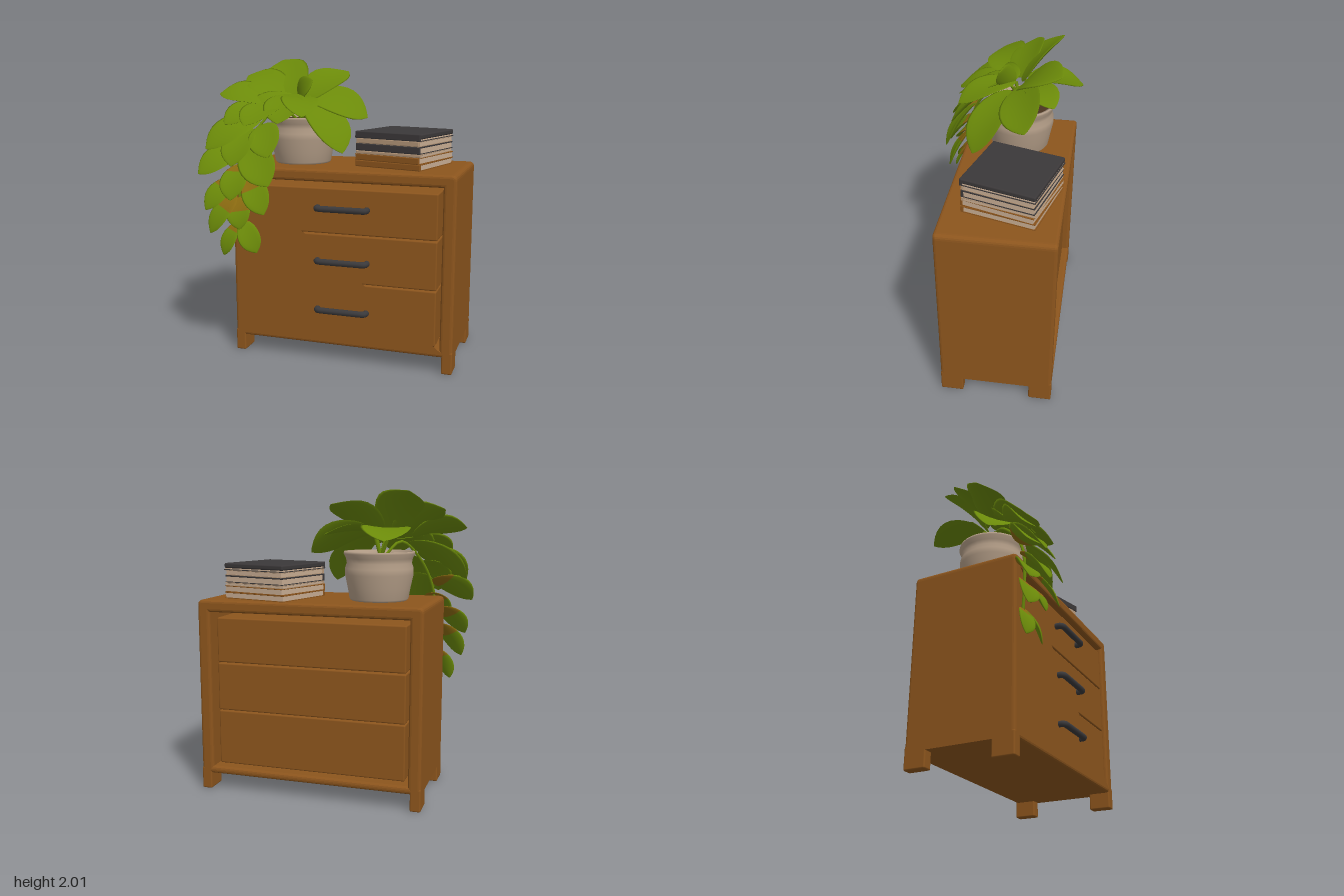
import * as THREE from 'three';
import { RoundedBoxGeometry } from 'three/addons/geometries/RoundedBoxGeometry.js';

const mat = (name, color) => {
  const m = new THREE.MeshStandardMaterial({ color });
  m.name = name;
  return m;
};
const V = (a) => new THREE.Vector3(...a);

export function createModel() {
  const wood = mat('wood', 0x8c551d);
  const metal = mat('dark metal', 0x3a393b);
  const clay = mat('clay', 0xb39d87);
  const soil = mat('soil', 0x4a3420);
  const green = mat('leaf green', 0x6b8a09);
  const amber = mat('leaf amber', 0x8a6a10);
  const darkCover = mat('dark cover', 0x3b3839);
  const tanCover = mat('tan cover', 0xb49678);
  const pages = mat('pages', 0xc9ae94);
  const root = new THREE.Group();
  root.name = 'dresserWithPlant';

  const add = (parent, name, geometry, material, x = 0, y = 0, z = 0) => {
    const m = new THREE.Mesh(geometry, material);
    m.name = name;
    m.position.set(x, y, z);
    parent.add(m);
    return m;
  };
  const group = (name) => {
    const g = new THREE.Group();
    g.name = name;
    root.add(g);
    return g;
  };

  // Cabinet shell: a rounded frame open at front and back
  const dresser = group('dresser');
  const L = -0.675, R = 0.845, B = 0.11, T = 1.3, r = 0.035;
  const outline = new THREE.Shape();
  outline.moveTo(L, B);
  outline.lineTo(R, B);
  outline.lineTo(R, T - r);
  outline.quadraticCurveTo(R, T, R - r, T);
  outline.lineTo(L + r, T);
  outline.quadraticCurveTo(L, T, L, T - r);
  outline.closePath();
  const opening = new THREE.Path();
  opening.setFromPoints([[-0.59, 0.16], [-0.59, 1.22], [0.76, 1.22], [0.76, 0.16]].map((p) => new THREE.Vector2(...p)));
  outline.holes.push(opening);
  const bevel = 0.02;
  add(dresser, 'cabinetFrame', new THREE.ExtrudeGeometry(outline, {
    depth: 0.74 - 2 * bevel, bevelSize: bevel, bevelThickness: bevel, bevelOffset: -bevel, bevelSegments: 3, curveSegments: 5,
  }), wood, 0, 0, -0.45 + bevel);

  // Legs
  for (const x of [L + 0.035, R - 0.035])
    for (const z of [0.215, -0.375])
      add(dresser, 'leg', new RoundedBoxGeometry(0.07, 0.15, 0.15, 2, 0.01), wood, x, 0.075, z);

  // Diagonal front panel over the lower corner of the opening
  const half = new THREE.Shape([[-0.61, 0.13], [0.79, 0.13], [-0.61, 1.225]].map((p) => new THREE.Vector2(...p)));
  add(dresser, 'diagonalPanel', new THREE.ShapeGeometry(half), wood, 0, 0, 0.2905);

  // Drawers with bar handles
  const bar = new THREE.CurvePath();
  const hp = [[-0.168, 0, -0.02], [-0.168, 0, 0.02], [-0.13, 0, 0.04], [0.13, 0, 0.04], [0.168, 0, 0.02], [0.168, 0, -0.02]].map(V);
  bar.add(new THREE.LineCurve3(hp[0], hp[1]));
  bar.add(new THREE.QuadraticBezierCurve3(hp[1], V([-0.168, 0, 0.04]), hp[2]));
  bar.add(new THREE.LineCurve3(hp[2], hp[3]));
  bar.add(new THREE.QuadraticBezierCurve3(hp[3], V([0.168, 0, 0.04]), hp[4]));
  bar.add(new THREE.LineCurve3(hp[4], hp[5]));
  const barGeo = new THREE.TubeGeometry(bar, 40, 0.021, 10);
  for (const [y0, y1, hy] of [[0.175, 0.545, 0.36], [0.55, 0.872, 0.695], [0.878, 1.18, 1.05]]) {
    add(dresser, 'drawer', new RoundedBoxGeometry(1.29, y1 - y0, 0.68, 2, 0.01), wood, 0.085, (y0 + y1) / 2, -0.06);
    add(dresser, 'handle', barGeo, metal, 0.102, hy, 0.287);
  }

  // Stack of books, spines to the front; height, cover, turn, size, cover thickness
  const books = group('books');
  books.position.set(0.415, 1.3, -0.13);
  books.rotation.y = -0.275;
  let y = 0;
  [
    [0.042, wood, 0.012, 0.485, 0.006], [0.043, wood, -0.02, 0.485, 0.006], [0.022, tanCover, 0.02, 0.48, 0.006],
    [0.048, darkCover, 0.0, 0.48, 0.01], [0.035, tanCover, -0.015, 0.475, 0.006], [0.046, darkCover, 0, 0.488, 0.034],
  ].forEach(([h, cover, turn, s, top]) => {
    const book = new THREE.Group();
    book.name = 'book';
    book.position.y = y;
    book.rotation.y = turn;
    books.add(book);
    const c = 0.005;
    add(book, 'backCover', new THREE.BoxGeometry(s, c, s), cover, 0, c / 2, 0);
    add(book, 'frontCover', new RoundedBoxGeometry(s, top, s, 2, top * 0.3), cover, 0, h - top / 2, 0);
    add(book, 'spine', new RoundedBoxGeometry(s, h, 0.02, 2, 0.006), cover, 0, h / 2, s / 2 - 0.008);
    add(book, 'pageBlock', new THREE.BoxGeometry(s - 0.008, h - c - top, s - 0.012), pages, 0, (h + c - top) / 2, 0);
    y += h;
  });

  // Pot
  const plant = group('pottedPlant');
  const profile = [[0, 0], [0.185, 0], [0.195, 0.012], [0.207, 0.08], [0.226, 0.17], [0.226, 0.21], [0.214, 0.245],
    [0.22, 0.275], [0.235, 0.305], [0.232, 0.32], [0.215, 0.318], [0.205, 0.28]].map((p) => new THREE.Vector2(...p));
  add(plant, 'pot', new THREE.LatheGeometry(profile, 32), clay, -0.3, 1.3, -0.08);
  add(plant, 'soil', new THREE.CylinderGeometry(0.212, 0.2, 0.02, 24), soil, -0.3, 1.585, -0.08);

  // A leaf is a thin pointed ellipsoid from base to tip, cupped and drooping
  const leaf = (base, tip, width, facing, amberRows = 0) => {
    const dir = V(tip).sub(V(base));
    const len = dir.length();
    dir.normalize();
    const geo = new THREE.SphereGeometry(1, 14, 14);
    const p = geo.attributes.position;
    for (let i = 0; i < p.count; i++) {
      const u = p.getY(i), t = (u + 1) / 2;
      const x = p.getX(i) * (width / 2) * (1 + 0.1 * u) * Math.sqrt(1.02 - t ** 7);
      const bend = 0.28 * len * t * (1 - t) + (0.35 * x * x) / width;
      p.setXYZ(i, x, t * len, p.getZ(i) * 0.012 + bend);
    }
    geo.computeVertexNormals();
    const n = V(facing);
    n.addScaledVector(dir, -n.dot(dir)).normalize();
    const side = new THREE.Vector3().crossVectors(dir, n);
    geo.applyMatrix4(new THREE.Matrix4().makeBasis(side, dir, n).setPosition(...base));
    // rows run from tip to base; the last ones may be amber
    const total = geo.index.count;
    const split = amberRows ? total - 42 - (amberRows - 1) * 84 : total;
    geo.clearGroups();
    geo.addGroup(0, split, 0);
    geo.addGroup(split, total - split, 1);
    add(plant, 'leaf', geo, [green, amber]);
  };

  // Crown leaves: base, tip, width, facing
  const up = [0, 1, 0.6], flat = [0, 1, 0.2];
  [
    [[-0.36, 1.73, -0.08], [-0.55, 2.0, -0.34], 0.31, [-0.1, 1, 0.6]],
    [[-0.36, 1.76, -0.12], [-0.43, 1.7, -0.49], 0.31, flat],
    [[-0.31, 1.72, -0.08], [-0.06, 1.92, -0.37], 0.3, up],
    [[-0.26, 1.76, -0.1], [0.145, 1.61, -0.16], 0.31, up],
    [[-0.24, 1.72, -0.02], [0.075, 1.4, 0.19], 0.29, [0.5, 0.8, 0.5]],
    [[-0.33, 1.75, -0.04], [-0.16, 1.64, 0.32], 0.25, [0.2, 1, 0.3]],
    [[-0.36, 1.77, -0.04], [-0.34, 1.59, 0.3], 0.27, up],
    [[-0.34, 1.76, -0.05], [-0.6, 1.6, 0.21], 0.27, up],
    [[-0.5, 1.72, 0.0], [-0.845, 1.77, 0.1], 0.29, [0, 1, 0.5]],
    [[-0.4, 1.74, -0.08], [-0.74, 1.89, -0.14], 0.28, up],
    [[-0.3, 1.75, -0.14], [-0.0, 1.73, -0.33], 0.2, flat],
    [[-0.32, 1.75, -0.04], [-0.18, 1.87, 0.05], 0.15, [0, 0.6, 1]],
    [[-0.48, 1.7, 0.06], [-0.7, 1.58, 0.34], 0.25, up],
    [[-0.44, 1.7, 0.02], [-0.54, 1.58, 0.38], 0.25, up],
    [[-0.48, 1.68, 0.04], [-0.84, 1.43, 0.18], 0.27, [-0.6, 0.6, 0.6]],
  ].forEach(([b, t, w, f]) => leaf(b, t, w, f));

  // Trailing leaves over the front corner: base, tip, width, amber rows
  const out = [-0.1, 0.8, 0.8];
  [
    [[-0.52, 1.62, 0.16], [-0.81, 1.42, 0.4], 0.25, 0],
    [[-0.48, 1.58, 0.18], [-0.36, 1.38, 0.42], 0.22, 0],
    [[-0.58, 1.55, 0.2], [-0.6, 1.32, 0.46], 0.23, 0],
    [[-0.56, 1.44, 0.28], [-0.34, 1.2, 0.46], 0.24, 0],
    [[-0.6, 1.42, 0.26], [-0.845, 1.26, 0.45], 0.23, 5],
    [[-0.6, 1.32, 0.29], [-0.6, 1.1, 0.485], 0.2, 5],
    [[-0.54, 1.24, 0.31], [-0.38, 1.01, 0.45], 0.18, 6],
    [[-0.64, 1.22, 0.3], [-0.8, 1.02, 0.45], 0.18, 6],
    [[-0.63, 1.1, 0.32], [-0.78, 0.86, 0.43], 0.16, 6],
    [[-0.6, 1.1, 0.32], [-0.56, 0.9, 0.44], 0.17, 7],
    [[-0.6, 0.93, 0.31], [-0.47, 0.73, 0.37], 0.15, 3],
    [[-0.62, 0.92, 0.31], [-0.71, 0.7, 0.38], 0.13, 5],
  ].forEach(([b, t, w, rows]) => leaf(b, t, w, out, rows));

  // Stems
  const stem = (pts, rad) =>
    add(plant, 'stem', new THREE.TubeGeometry(new THREE.CatmullRomCurve3(pts.map(V)), 24, rad, 6), green);
  stem([[-0.33, 1.58, -0.08], [-0.42, 1.68, 0.02], [-0.52, 1.56, 0.18], [-0.59, 1.35, 0.3], [-0.61, 1.1, 0.32], [-0.61, 0.92, 0.31]], 0.01);
  for (const [x, z] of [[-0.38, -0.11], [-0.27, -0.1], [-0.34, -0.04], [-0.26, -0.03]])
    stem([[-0.31, 1.58, -0.08], [(x - 0.31) / 2, 1.66, (z - 0.08) / 2], [x, 1.74, z]], 0.012);

  return root;
}
